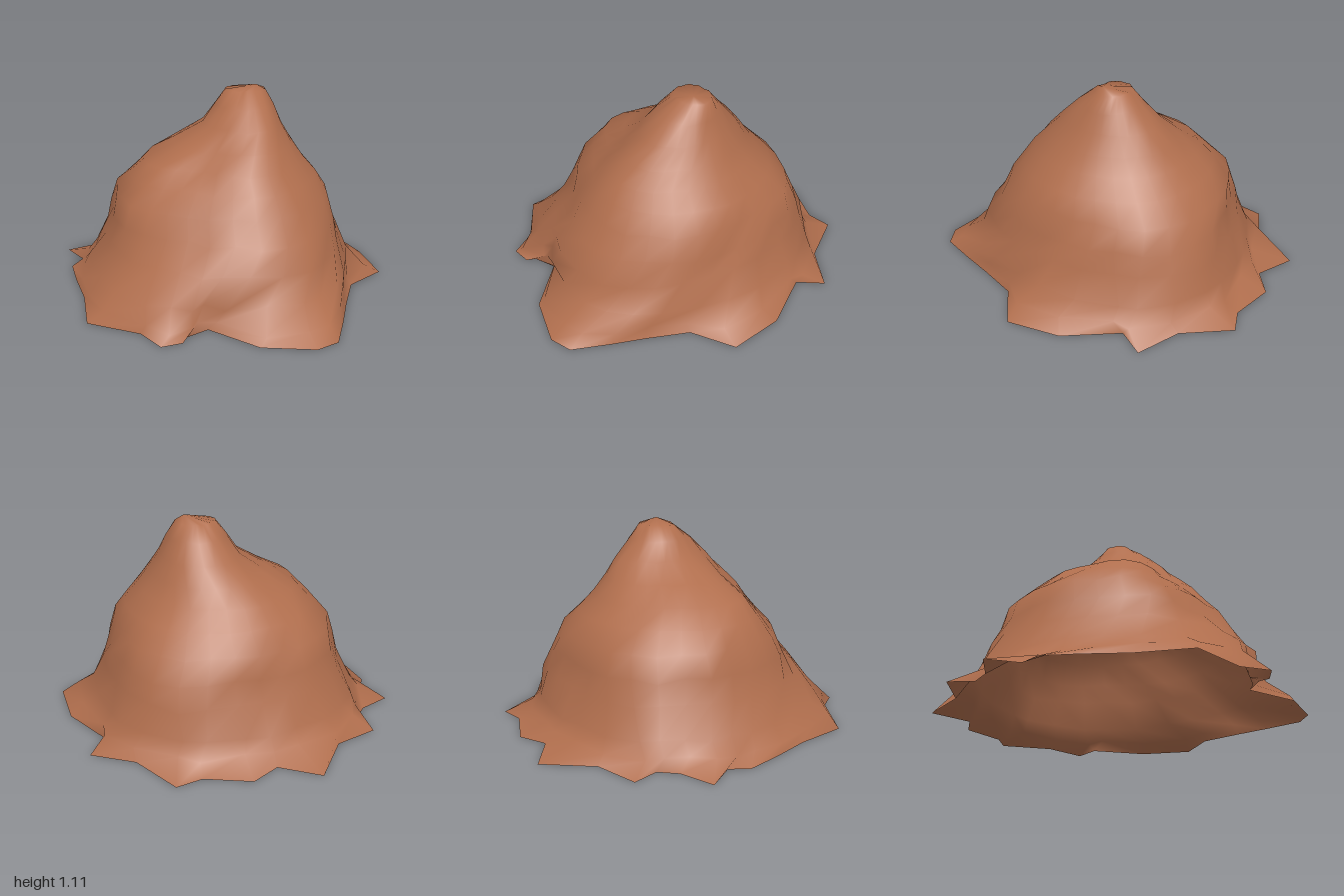
import * as THREE from 'three';

// ragged foot outline on the ground, as x, z pairs
const FOOT = [
  -0.26, -1.0, -0.06, -0.87, 0.09, -0.95, 0.33, -0.86, 0.47, -0.89, 0.62, -0.63, 0.84, -0.5, 0.74, -0.37,
  0.9, -0.08, 0.92, 0.22, 0.7, 0.36, 0.6, 0.58, 0.53, 0.75, 0.44, 0.95, 0.32, 1.0, 0.05, 0.94,
  -0.18, 0.73, -0.3, 0.79, -0.32, 0.84, -0.43, 0.86, -0.52, 0.72, -0.79, 0.57, -0.81, 0.28, -0.86, 0.05,
  -0.89, -0.14, -0.83, -0.24, -0.92, -0.39, -0.74, -0.46, -0.66, -0.55, -0.69, -0.69, -0.45, -0.76,
];

// cross-sections: height, left edge, right edge, back edge, front edge
const LEVELS = [
  [0.05, -0.83, 0.83, -0.82, 0.92],
  [0.13, -0.76, 0.74, -0.78, 0.80],
  [0.28, -0.68, 0.68, -0.73, 0.75],
  [0.40, -0.64, 0.65, -0.67, 0.67],
  [0.52, -0.60, 0.60, -0.64, 0.60],
  [0.62, -0.52, 0.54, -0.55, 0.54],
  [0.71, -0.43, 0.46, -0.46, 0.48],
  [0.80, -0.27, 0.40, -0.38, 0.39],
  [0.90, -0.10, 0.34, -0.30, 0.28],
  [1.00, -0.03, 0.30, -0.20, 0.17],
  [1.08, 0.03, 0.26, -0.13, 0.06],
];

// swellings and hollows: direction in degrees (0 is +x, 90 is +z), height, half width, half height, amount
const LUMPS = [
  [118, 0.74, 28, 0.14, -0.24],
  [122, 0.42, 26, 0.2, -0.13],
  [68, 0.4, 24, 0.4, 0.03],
  [-48, 0.4, 22, 0.3, 0.05],
  [160, 0.7, 16, 0.07, 0.05],
  [30, 0.3, 15, 0.15, -0.05],
  [-95, 0.25, 14, 0.2, -0.04],
];

// repeatable value from -1 to 1
function rough(i, j) {
  const s = Math.sin(i * 12.9898 + j * 78.233) * 43758.5453;
  return 2 * (s - Math.floor(s)) - 1;
}

function lumpScale(angle, y) {
  const deg = THREE.MathUtils.radToDeg(angle);
  let scale = 1;
  for (const [dir, h, w, t, amount] of LUMPS) {
    const turn = THREE.MathUtils.euclideanModulo(deg - dir + 180, 360) - 180;
    scale += amount * Math.exp(-((turn / w) ** 2) - ((y - h) / t) ** 2);
  }
  return scale;
}

// radius of the foot outline in a given direction
function footRadius(angle) {
  const n = FOOT.length / 2, c = Math.cos(angle), s = Math.sin(angle);
  for (let i = 0; i < n; i++) {
    const j = (i + 1) % n;
    const ax = FOOT[2 * i], az = FOOT[2 * i + 1], bx = FOOT[2 * j], bz = FOOT[2 * j + 1];
    const sa = c * az - s * ax, sb = c * bz - s * bx;
    if (sa <= 0 && sb > 0) {
      const t = sa / (sa - sb);
      return (ax + t * (bx - ax)) * c + (az + t * (bz - az)) * s;
    }
  }
  return 1;
}

function moundGeometry() {
  const n = FOOT.length / 2;
  const pos = [], index = [], footAngles = [];
  for (let i = 0; i < n; i++) {
    const x = FOOT[2 * i], z = FOOT[2 * i + 1];
    let a = Math.atan2(z, x);
    if (i && a < footAngles[0]) a += 2 * Math.PI;
    footAngles.push(a);
    pos.push(x, 0, z);
  }

  // lumpy rounded rings, kept inside the foot outline and evenly spaced higher up
  LEVELS.forEach(([y, x0, x1, z0, z1], k) => {
    const cx = (x0 + x1) / 2, cz = (z0 + z1) / 2, hx = (x1 - x0) / 2, hz = (z1 - z0) / 2;
    const power = y < 0.6 ? 2.25 : 2;
    const even = Math.min(1, y / 0.4);
    const noise = y < 0.6 ? 0.022 : 0.008;
    for (let i = 0; i < n; i++) {
      const a = THREE.MathUtils.lerp(footAngles[i], footAngles[0] + (2 * Math.PI * i) / n, even);
      const c = Math.cos(a), s = Math.sin(a);
      let r = (Math.abs(c / hx) ** power + Math.abs(s / hz) ** power) ** (-1 / power);
      r *= lumpScale(a, y) + noise * rough(i, k);
      let x = cx + c * r, z = cz + s * r;
      const limit = footRadius(Math.atan2(z, x)) * (0.98 - 0.15 * y), d = Math.hypot(x, z);
      if (d > limit) { x *= limit / d; z *= limit / d; }
      pos.push(x, y + noise * 0.7 * rough(i + 9, k), z);
    }
  });

  // side faces
  for (let k = 0; k < LEVELS.length; k++) {
    for (let i = 0; i < n; i++) {
      const a = k * n + i, b = k * n + (i + 1) % n;
      index.push(a, a + n, b, b, a + n, b + n);
    }
  }
  // summit
  const top = pos.length / 3, last = LEVELS.length * n;
  pos.push(0.2, 1.11, 0);
  for (let i = 0; i < n; i++) index.push(last + i, top, last + (i + 1) % n);

  const g = new THREE.BufferGeometry();
  g.setAttribute('position', new THREE.Float32BufferAttribute(pos, 3));
  g.setIndex(index);
  g.computeVertexNormals();
  return g;
}

export function createModel() {
  const group = new THREE.Group();
  group.name = 'dirtMound';
  // open underneath, so both sides show
  const earth = new THREE.MeshStandardMaterial({ color: 0xb06e4d, side: THREE.DoubleSide });
  earth.name = 'red earth';
  const mound = new THREE.Mesh(moundGeometry(), earth);
  mound.name = 'mound';
  group.add(mound);
  return group;
}
